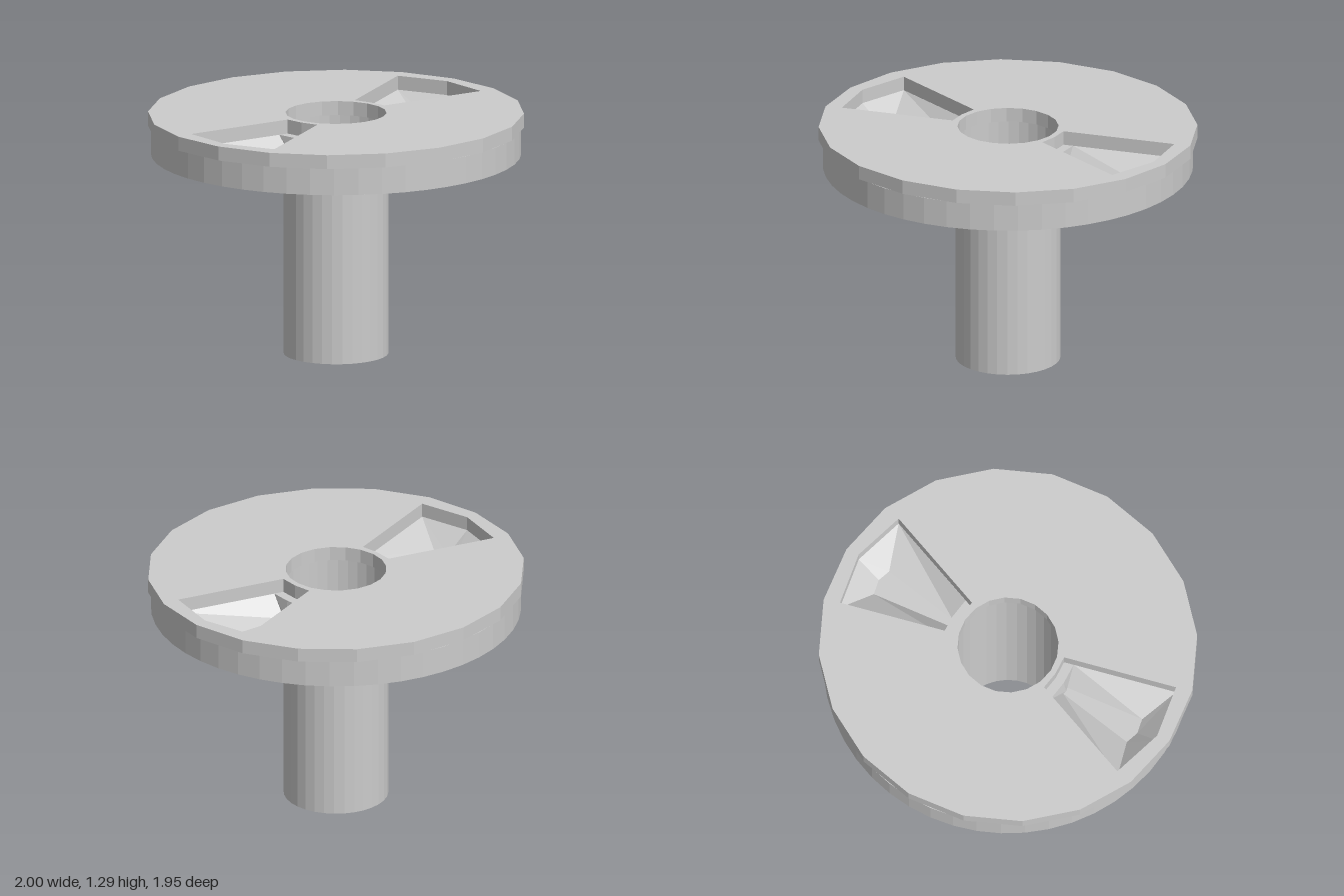
import * as THREE from 'three';

const GREY = new THREE.MeshStandardMaterial({ color: 0xcccccc, flatShading: true, side: THREE.DoubleSide });

const LID_TOP = 1.29, SEAM = 1.215, BASE = 1.07, FLOOR = 1.11;

// Regular polygon outline in plan coordinates (x, z)
function ring(radius, sides, cx = 0, cz = 0, zScale = 1) {
  return Array.from({ length: sides }, (_, i) => {
    const a = (i / sides) * Math.PI * 2;
    return new THREE.Vector2(cx + radius * Math.cos(a), cz + radius * zScale * Math.sin(a));
  });
}

// Horizontal plate between two heights, with holes cut through it
function plate(name, outline, holes, bottom, top) {
  const shape = new THREE.Shape(outline);
  for (const h of holes) shape.holes.push(new THREE.Path(h));
  const g = new THREE.ExtrudeGeometry(shape, { depth: top - bottom, bevelEnabled: false });
  g.rotateX(Math.PI / 2).translate(0, top, 0);
  const mesh = new THREE.Mesh(g, GREY);
  mesh.name = name;
  return mesh;
}

// Wedge opening on the +x side (s = 1) or turned half way round (s = -1)
function wedge(s, inner) {
  const w = inner * 0.31 + 0.01;
  return [[inner, -w], [0.87, -0.27], [0.93, 0.01], [0.86, 0.29], [inner, w], [inner + 0.01, 0]]
    .map(([x, z]) => new THREE.Vector2(s * x, s * z));
}

// Tapered hopper with sloping sides and a narrow flat floor
function hopper(s) {
  const rim = wedge(s, 0.335);
  const floor = [[0.355, -0.02], [0.78, -0.08], [0.8, 0.0], [0.78, 0.07], [0.355, 0.02], [0.36, 0]]
    .map(([x, z]) => new THREE.Vector2(s * x, s * z));
  const pos = [], index = [], n = rim.length;
  for (const p of rim) pos.push(p.x, SEAM, p.y);
  for (const p of floor) pos.push(p.x, FLOOR, p.y);
  for (let i = 0; i < n; i++) {
    const j = (i + 1) % n;
    index.push(i, j, n + j, i, n + j, n + i);
  }
  for (const [a, b, c] of THREE.ShapeUtils.triangulateShape(floor, [])) index.push(n + a, n + c, n + b);
  const g = new THREE.BufferGeometry();
  g.setAttribute('position', new THREE.Float32BufferAttribute(pos, 3));
  g.setIndex(index);
  g.computeVertexNormals();
  const mesh = new THREE.Mesh(g, GREY);
  mesh.name = s > 0 ? 'leftHopper' : 'rightHopper';
  return mesh;
}

export function createModel() {
  const model = new THREE.Group();
  model.name = 'slottedDiscOnTube';

  // Screw holes: six, repeated by a half turn
  const screwHoles = [];
  for (const s of [1, -1]) {
    for (const [x, z] of [[0.61, -0.52], [0.28, -0.53], [0.35, -0.3], [0.3, 0.37], [0.52, 0.62], [0.19, 0.59]]) {
      screwHoles.push(ring(0.055, 16, s * x, s * z));
    }
  }

  // Many-sided lid with two wedge slots
  model.add(plate('lid', ring(1, 20, 0, 0, 0.977),
    [ring(0.265, 20), wedge(1, 0.285), wedge(-1, 0.285)], SEAM, LID_TOP));

  // Round body: pocketed upper layer over a closed bottom layer
  const bodyRim = ring(0.97, 48), bore = ring(0.275, 32);
  model.add(plate('bodyUpper', bodyRim,
    [bore, ...screwHoles, wedge(1, 0.335), wedge(-1, 0.335)], FLOOR, SEAM));
  model.add(plate('bodyBase', bodyRim, [bore, ...screwHoles], BASE, FLOOR));
  model.add(hopper(1), hopper(-1));

  // Thin open tube
  const tube = new THREE.Mesh(new THREE.CylinderGeometry(0.275, 0.275, SEAM, 32, 1, true), GREY);
  tube.name = 'tube';
  tube.position.y = SEAM / 2;
  model.add(tube);

  return model;
}
